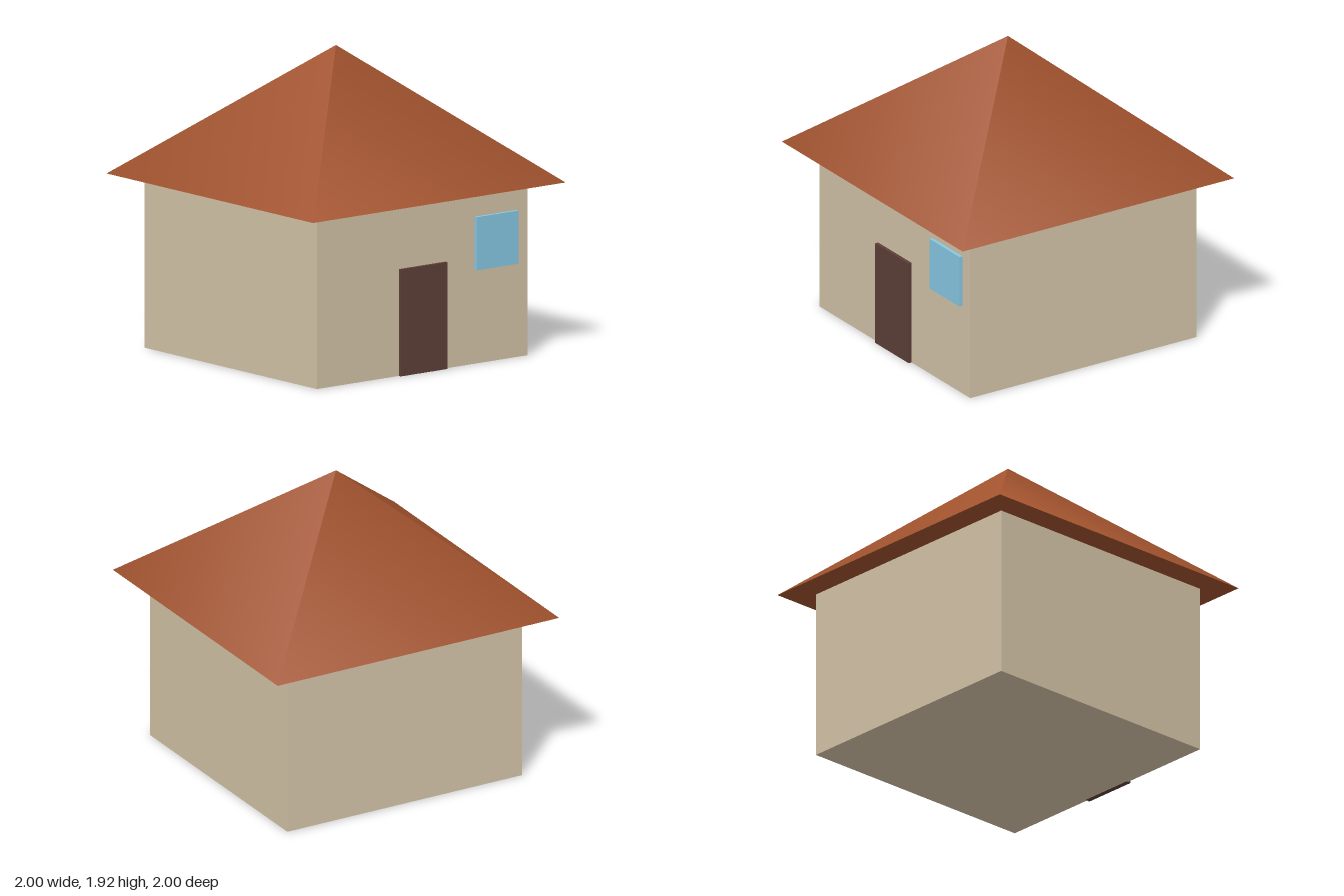
import * as THREE from 'three';

function material(name, color) {
  const m = new THREE.MeshStandardMaterial({ color });
  m.name = name;
  return m;
}

export function createModel() {
  const house = new THREE.Group();
  house.name = 'house';

  const plaster = material('plaster', 0xd4c4a8);
  const roofBrown = material('roofBrown', 0xa0522d);
  const doorBrown = material('doorBrown', 0x5d4037);
  const glassBlue = material('glassBlue', 0x87c8e5);

  const wallWidth = 1.667, wallHeight = 1.085, roofHeight = 0.832;

  function add(name, geometry, mat, x, y, z) {
    const mesh = new THREE.Mesh(geometry, mat);
    mesh.name = name;
    mesh.position.set(x, y, z);
    house.add(mesh);
    return mesh;
  }

  // Square body
  add('walls', new THREE.BoxGeometry(wallWidth, wallHeight, wallWidth), plaster, 0, wallHeight / 2, 0);

  // Four-sided pyramid roof with overhanging eaves and smooth normals
  const roof = add('roof', new THREE.ConeGeometry(Math.SQRT2, roofHeight, 4), roofBrown,
    0, wallHeight + roofHeight / 2, 0);
  roof.rotation.y = Math.PI / 4;

  // Door and window stand slightly proud of the front wall
  const depth = 0.033, frontZ = 0.855 - depth / 2;
  add('door', new THREE.BoxGeometry(0.37, 0.668, depth), doorBrown, 0, 0.334, frontZ);
  add('window', new THREE.BoxGeometry(0.33, 0.333, depth), glassBlue, 0.582, 0.753, frontZ);

  return house;
}
